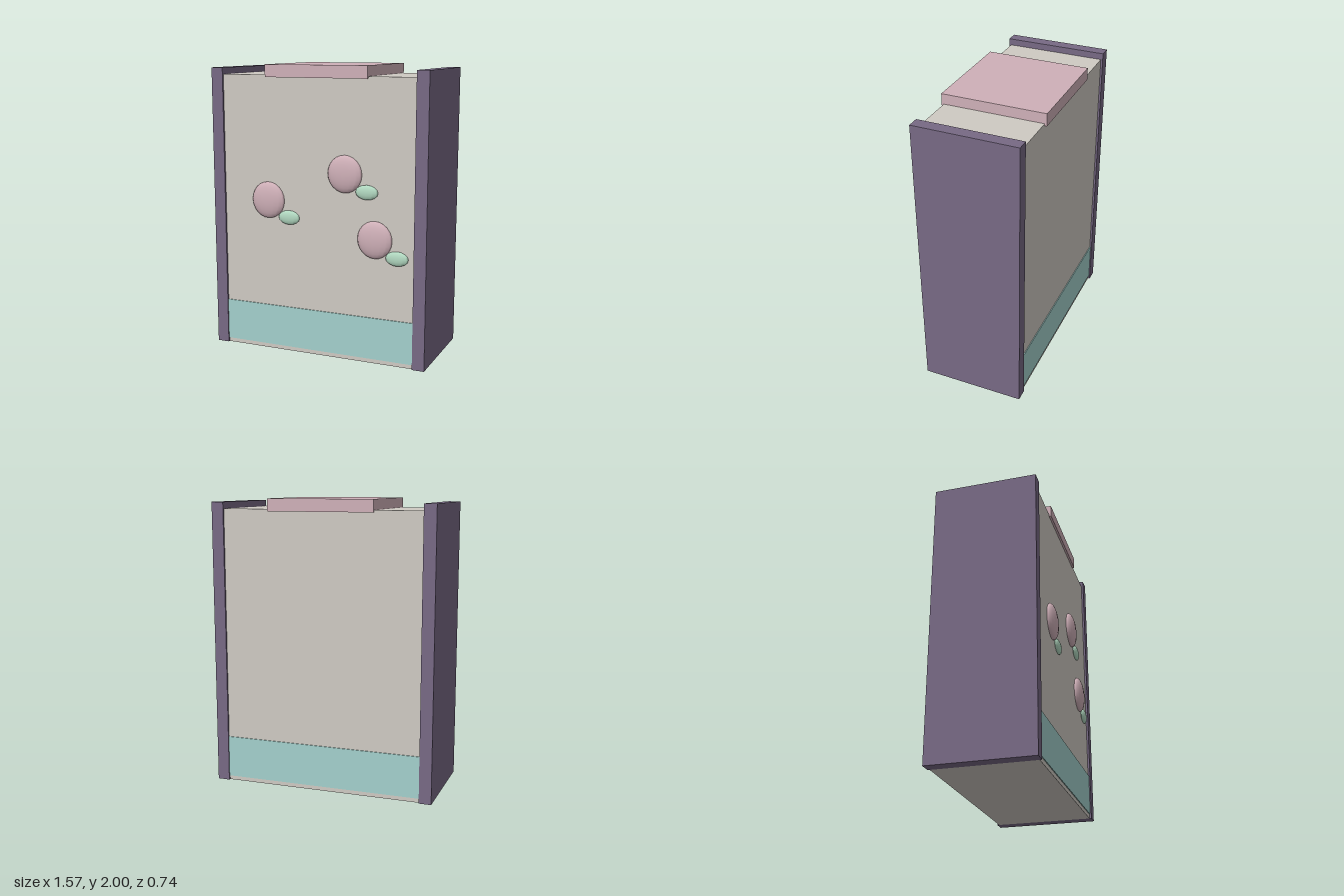
import * as THREE from 'three';

function material(name, color) {
  const m = new THREE.MeshStandardMaterial({ color });
  m.name = name;
  return m;
}

export function createModel() {
  const group = new THREE.Group();
  const stone = material('warm grey', 0xcfcac3);
  const purple = material('dusty purple', 0x776984);
  const pink = material('dusty pink', 0xcfb0b8);
  const teal = material('pale teal', 0xa3d0cc);
  const green = material('pale green', 0xb3dac2);
  const midZ = -0.017;

  // Box given by its lower and upper corners
  function box(name, mat, [x0, y0, z0], [x1, y1, z1]) {
    const mesh = new THREE.Mesh(new THREE.BoxGeometry(x1 - x0, y1 - y0, z1 - z0), mat);
    mesh.position.set((x0 + x1) / 2, (y0 + y1) / 2, (z0 + z1) / 2);
    mesh.name = name;
    group.add(mesh);
  }

  // Main block and the slab on top
  box('body', stone, [-0.7, 0, midZ - 0.343], [0.7, 1.93, midZ + 0.343]);
  box('topSlab', pink, [-0.37, 1.915, midZ - 0.358], [0.37, 2, midZ + 0.358]);

  // Side panels
  box('rightPanel', purple, [-0.785, 0, midZ - 0.357], [-0.7, 1.975, midZ + 0.357]);
  box('leftPanel', purple, [0.7, 0, midZ - 0.357], [0.785, 1.975, midZ + 0.357]);

  // Thin bands along the foot, front and back
  box('frontBand', teal, [-0.7, 0.03, midZ + 0.343], [0.7, 0.32, midZ + 0.349]);
  box('backBand', teal, [-0.7, 0.03, midZ - 0.349], [0.7, 0.32, midZ - 0.343]);

  // Flattened blossoms, each with a leaf below and to one side
  const blossomGeometry = new THREE.SphereGeometry(1, 16, 12);
  const leafGeometry = new THREE.SphereGeometry(1, 12, 8);
  for (const [x, y] of [[-0.36, 1.075], [0.21, 1.288], [0.425, 0.86]]) {
    const flower = new THREE.Group();
    flower.name = 'flower';
    flower.position.set(x, y, 0.331);
    const blossom = new THREE.Mesh(blossomGeometry, pink);
    blossom.name = 'blossom';
    blossom.scale.set(0.123, 0.127, 0.038);
    const leaf = new THREE.Mesh(leafGeometry, green);
    leaf.name = 'leaf';
    leaf.position.set(0.157, -0.113, 0);
    leaf.scale.set(0.08, 0.05, 0.02);
    flower.add(blossom, leaf);
    group.add(flower);
  }
  return group;
}
